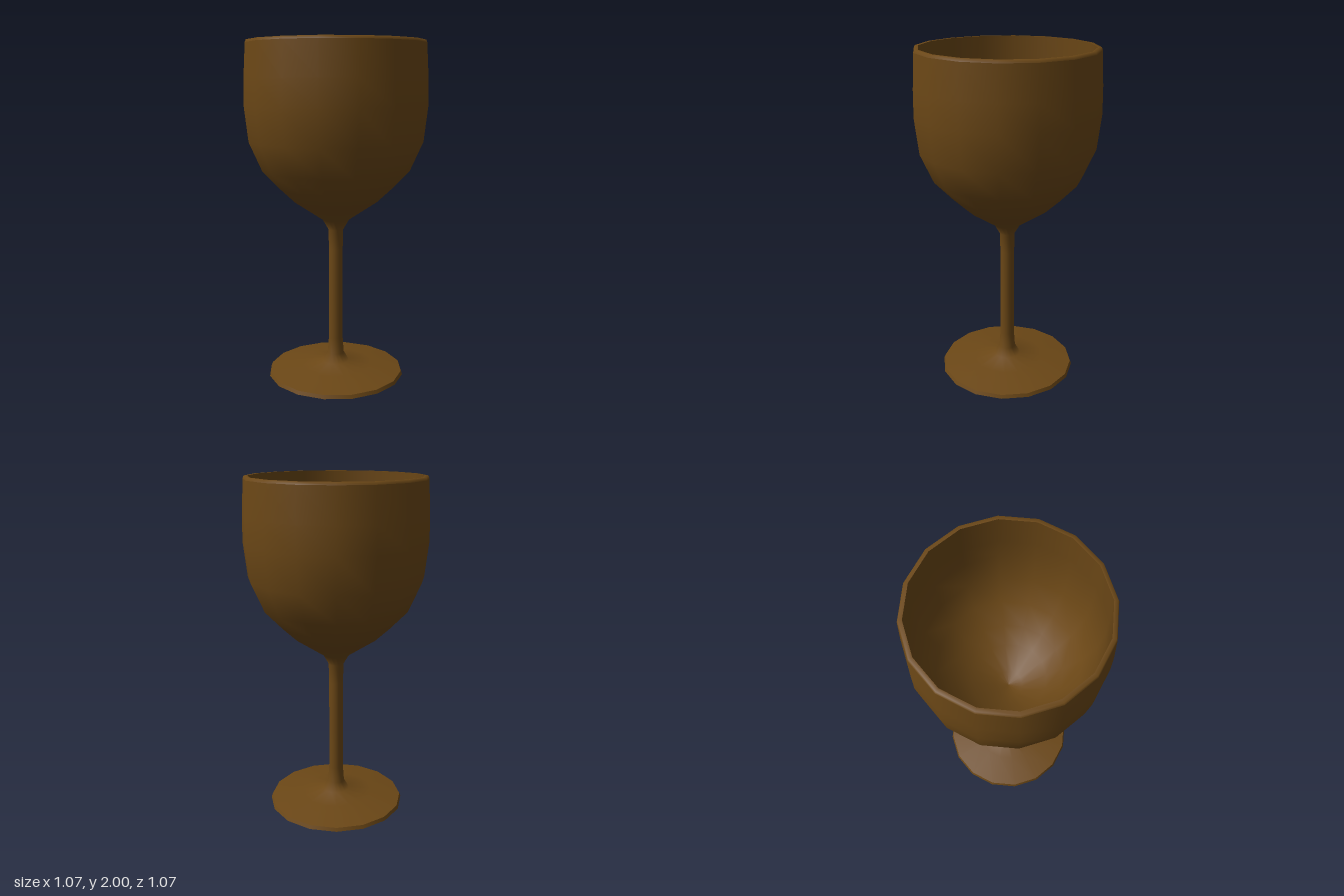
import * as THREE from 'three';

const SIDES = 16;

export function createModel() {
  const group = new THREE.Group();
  group.name = 'goblet';
  const material = new THREE.MeshStandardMaterial({ color: 0x6b4716 });

  // Revolves a [radius, height] profile; separate parts keep the edges between them sharp
  const turn = (name, profile) => {
    const points = profile.map(([r, y]) => new THREE.Vector2(r, y));
    const mesh = new THREE.Mesh(new THREE.LatheGeometry(points, SIDES), material);
    mesh.name = name;
    group.add(mesh);
  };

  // Foot: flat underside and thin edge
  turn('footUnderside', [[0, 0], [0.413, 0]]);
  turn('footEdge', [[0.413, 0], [0.405, 0.021]]);

  // Foot top, stem and bowl outside flow into each other in one smooth surface
  turn('stemAndBowl', [
    [0.405, 0.021], [0.22, 0.052], [0.08, 0.069], [0.05, 0.12], [0.043, 0.22],
    [0.042, 0.5], [0.042, 0.78], [0.045, 0.9], [0.08, 0.96],
    [0.245, 1.07], [0.33, 1.15], [0.435, 1.26], [0.51, 1.43],
    [0.533, 1.635], [0.53, 1.79], [0.518, 1.985],
  ]);

  // Rim with a small outer bevel
  turn('rim', [[0.518, 1.985], [0.512, 2], [0.492, 2]]);

  // Bowl inside, from the rim down to the centre
  turn('bowlInside', [
    [0.492, 2], [0.5, 1.79], [0.503, 1.64], [0.48, 1.44],
    [0.41, 1.285], [0.31, 1.18], [0.22, 1.1], [0.08, 1.02], [0, 1.0],
  ]);

  return group;
}
